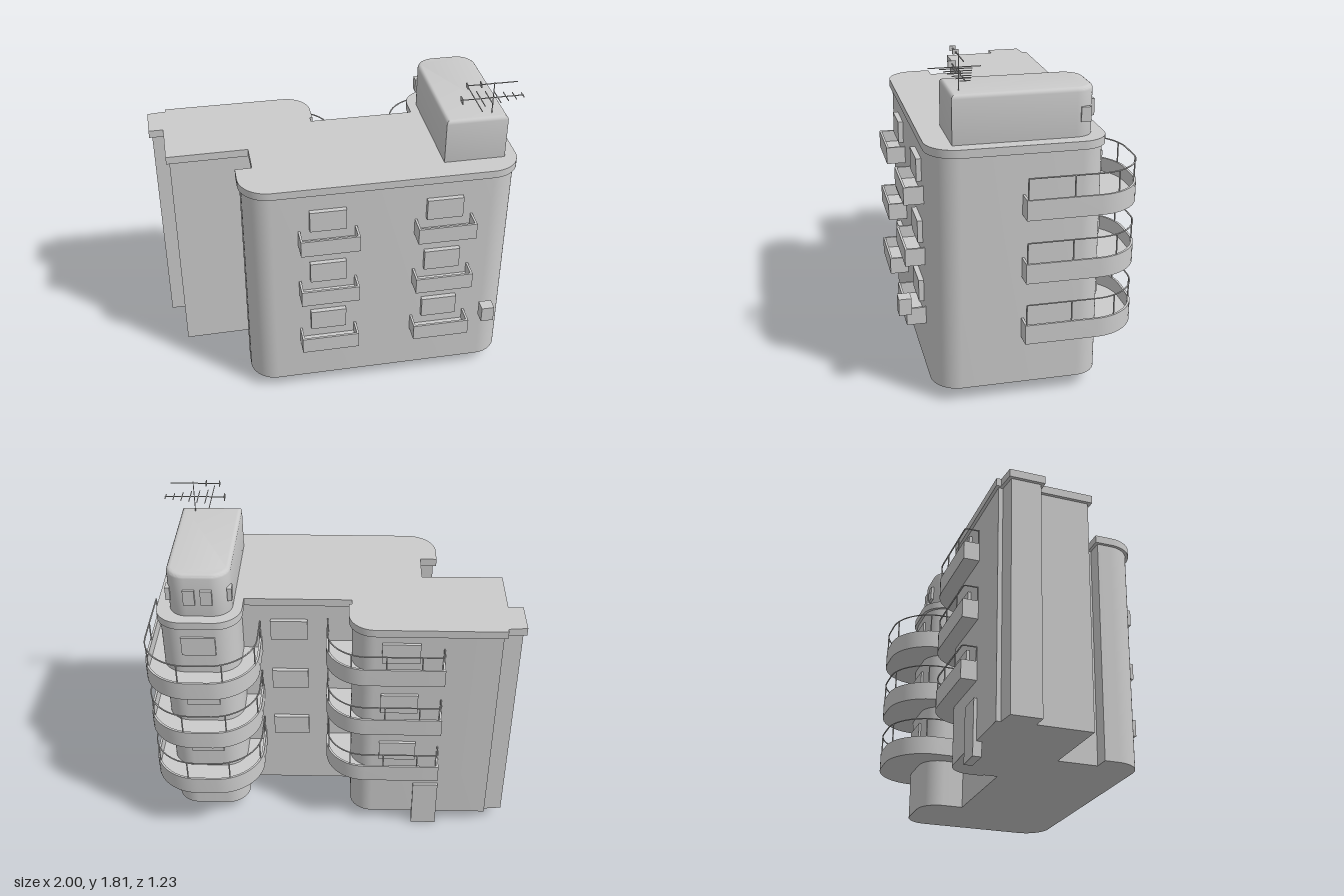
import * as THREE from 'three';
import { toCreasedNormals } from 'three/addons/utils/BufferGeometryUtils.js';

const grey = new THREE.MeshStandardMaterial({ color: 0xcccccc, side: THREE.DoubleSide });

// Outlines are lists of plan corners [x, z, radius]; shape y holds -z.
function tracePath(target, corners, closed = true) {
  const n = corners.length, k = 0.5523;
  const toward = (p, q, d) => {
    const len = Math.hypot(q[0] - p[0], q[1] - p[1]);
    return [p[0] + (q[0] - p[0]) * d / len, p[1] + (q[1] - p[1]) * d / len];
  };
  corners.forEach((p, i) => {
    const r = p[2] || 0;
    const line = (q) => (i === 0 ? target.moveTo(q[0], -q[1]) : target.lineTo(q[0], -q[1]));
    if (!r) return line(p);
    const prev = corners[(i + n - 1) % n], next = corners[(i + 1) % n];
    const a = toward(p, prev, r), b = toward(p, next, r);
    const c = toward(p, prev, r * (1 - k)), d = toward(p, next, r * (1 - k));
    line(a);
    target.bezierCurveTo(c[0], -c[1], d[0], -d[1], b[0], -b[1]);
  });
  if (closed) target.closePath();
  return target;
}

// Moves every edge of an outline inward by d
function inset(corners, d) {
  const n = corners.length;
  let area = 0;
  corners.forEach((p, i) => {
    const q = corners[(i + 1) % n];
    area += p[0] * q[1] - q[0] * p[1];
  });
  const s = Math.sign(area);
  const normal = (p, q) => {
    const len = Math.hypot(q[0] - p[0], q[1] - p[1]);
    return [-s * (q[1] - p[1]) / len, s * (q[0] - p[0]) / len];
  };
  return corners.map((p, i) => {
    const a = normal(corners[(i + n - 1) % n], p), b = normal(p, corners[(i + 1) % n]);
    const f = d / (1 + a[0] * b[0] + a[1] * b[1]);
    return [p[0] + (a[0] + b[0]) * f, p[1] + (a[1] + b[1]) * f, p[2] ? Math.max(p[2] - d, 0.005) : 0];
  });
}

function add(parent, name, geometry) {
  const mesh = new THREE.Mesh(geometry, grey);
  mesh.name = name;
  parent.add(mesh);
  return mesh;
}

// Extrudes an outline upward from y0 to y1
function slab(parent, name, corners, y0, y1, hole, bevel = 0) {
  const shape = tracePath(new THREE.Shape(), corners);
  if (hole) shape.holes.push(tracePath(new THREE.Path(), hole));
  const geo = new THREE.ExtrudeGeometry(shape, {
    depth: y1 - y0 - 2 * bevel, curveSegments: 14,
    bevelEnabled: bevel > 0, bevelSize: bevel, bevelThickness: bevel, bevelOffset: -bevel, bevelSegments: 4,
  });
  geo.rotateX(-Math.PI / 2).translate(0, y0 + bevel, 0);
  return add(parent, name, toCreasedNormals(geo, 0.6));
}

// Box given by its limits
function block(parent, name, x0, x1, y0, y1, z0, z1) {
  const mesh = add(parent, name, new THREE.BoxGeometry(x1 - x0, y1 - y0, z1 - z0));
  mesh.position.set((x0 + x1) / 2, (y0 + y1) / 2, (z0 + z1) / 2);
  return mesh;
}

// Floor with a thin parapet around it
function balcony(parent, name, corners, y0, y1) {
  const group = new THREE.Group();
  group.name = name;
  slab(group, 'balconyFloor', inset(corners, 0.002), y0, y0 + 0.03);
  slab(group, 'balconyParapet', corners, y0, y1, inset(corners, 0.012));
  parent.add(group);
  return group;
}

// Handrail along an open outline, with posts
function railing(parent, corners, y0, y1, posts) {
  const path = tracePath(new THREE.Path(), corners, false);
  const at = (p, y) => new THREE.Vector3(p.x, y, -p.y);
  const curve = new THREE.CatmullRomCurve3(path.getSpacedPoints(50).map((p) => at(p, y1)));
  add(parent, 'handrail', new THREE.TubeGeometry(curve, 70, 0.004, 6));
  path.getSpacedPoints(posts).forEach((p) => {
    const post = add(parent, 'railPost', new THREE.CylinderGeometry(0.004, 0.004, y1 - y0, 6));
    post.position.copy(at(p, (y0 + y1) / 2));
  });
}

export function createModel() {
  const model = new THREE.Group();
  model.name = 'apartmentBuilding';

  // Main body and overhanging roof
  const plan = [
    [-1, -0.44], [-0.9, -0.45], [-0.9, -0.475], [-0.085, -0.475, 0.14], [-0.085, -0.24], [-0.1, -0.24],
    [-0.1, -0.2], [0.475, -0.2], [0.475, -0.433, 0.14], [0.925, -0.433, 0.14], [0.925, 0.475, 0.16],
    [-0.57, 0.475, 0.16], [-0.57, 0.22], [-0.48, 0.22], [-0.48, 0.035], [-0.92, 0.04], [-0.92, -0.25], [-1, -0.25],
  ];
  slab(model, 'walls', inset(plan, 0.017), 0.08, 1.34);
  slab(model, 'roofSlab', plan, 1.335, 1.378);

  // Rooftop house with small windows
  const house = [[0.525, -0.37, 0.1], [0.855, -0.37, 0.1], [0.855, 0.347], [0.525, 0.347]];
  slab(model, 'rooftopHouse', house, 1.345, 1.626, null, 0.022);
  for (const x of [0.645, 0.735]) block(model, 'rooftopWindow', x - 0.03, x + 0.03, 1.455, 1.54, -0.386, -0.36);
  for (const x of [0.53, 0.85]) block(model, 'rooftopSideWindow', x - 0.012, x + 0.012, 1.455, 1.53, -0.34, -0.29);

  const towerPlan = [
    [0.39, -0.16], [0.39, -0.613, 0.25], [0.996, -0.613, 0.25], [0.996, 0.01], [0.88, 0.01], [0.88, -0.16],
  ];
  const wingPlan = [
    [-0.59, -0.4], [-0.59, -0.542], [0.036, -0.542, 0.22], [0.036, -0.16], [-0.18, -0.16], [-0.18, -0.4],
  ];
  const towerRail = [[0.397, -0.2], [0.397, -0.606, 0.243], [0.989, -0.606, 0.243], [0.989, 0.002]];
  const wingRail = [[-0.583, -0.46], [-0.583, -0.535, 0.01], [0.029, -0.535, 0.213], [0.029, -0.2]];

  for (let floor = 0; floor < 3; floor++) {
    const y = 0.345 + floor * 0.336;
    // Front windows, each above a box balcony
    for (const x of [-0.12, 0.508]) {
      block(model, 'frontWindow', x - 0.098, x + 0.098, y + 0.1, y + 0.22, 0.44, 0.485);
      const box = [[x - 0.158, 0.44], [x + 0.158, 0.44], [x + 0.158, 0.56], [x - 0.158, 0.56]];
      balcony(model, 'frontBalcony', box, y, y + 0.094);
    }
    // Rounded balconies with railings
    const tower = balcony(model, 'towerBalcony', towerPlan, y, y + 0.105);
    railing(tower, towerRail, y + 0.09, y + 0.215, 6);
    const wing = balcony(model, 'wingBalcony', wingPlan, y + 0.052, y + 0.155);
    railing(wing, wingRail, y + 0.14, y + 0.235, 5);
    // Rear windows
    block(model, 'towerWindow', 0.61, 0.79, y + 0.15, y + 0.26, -0.428, -0.39);
    block(model, 'wingWindow', -0.46, -0.26, y + 0.15, y + 0.27, -0.475, -0.44);
    block(model, 'rearWindow', 0.14, 0.34, y + 0.1, y + 0.22, -0.207, -0.17);
  }

  // Rear door and outdoor unit
  block(model, 'rearDoor', -0.6, -0.46, 0.003, 0.3, -0.475, -0.43);
  block(model, 'outdoorUnit', 0.72, 0.79, 0.47, 0.56, 0.55, 0.615);

  // Aerial: mast, two booms and crosswise rods
  const aerial = new THREE.Group();
  aerial.name = 'aerial';
  model.add(aerial);
  const rod = (name, x, y, z, lx, ly, lz) => {
    const t = 0.004;
    block(aerial, name, x - (lx || t) / 2, x + (lx || t) / 2, y - (ly || t) / 2, y + (ly || t) / 2,
      z - (lz || t) / 2, z + (lz || t) / 2);
  };
  const az = 0.297;
  rod('mast', 0.777, 1.71, az, 0, 0.19, 0);
  rod('lowerBoom', 0.773, 1.715, az, 0.335, 0, 0);
  rod('upperBoom', 0.765, 1.797, az, 0.27, 0, 0);
  rod('reflectorRod', 0.68, 1.715, az, 0, 0, 0.26);
  rod('reflectorRod', 0.61, 1.715, az, 0, 0.03, 0.04);
  for (let i = 0; i < 6; i++) rod('directorRod', 0.71 + i * 0.045, 1.715, az, 0, 0, 0.16 - i * 0.022);
  for (const x of [0.632, 0.705]) rod('upperRod', x, 1.797, az, 0, 0.024, 0.03);
  return model;
}
